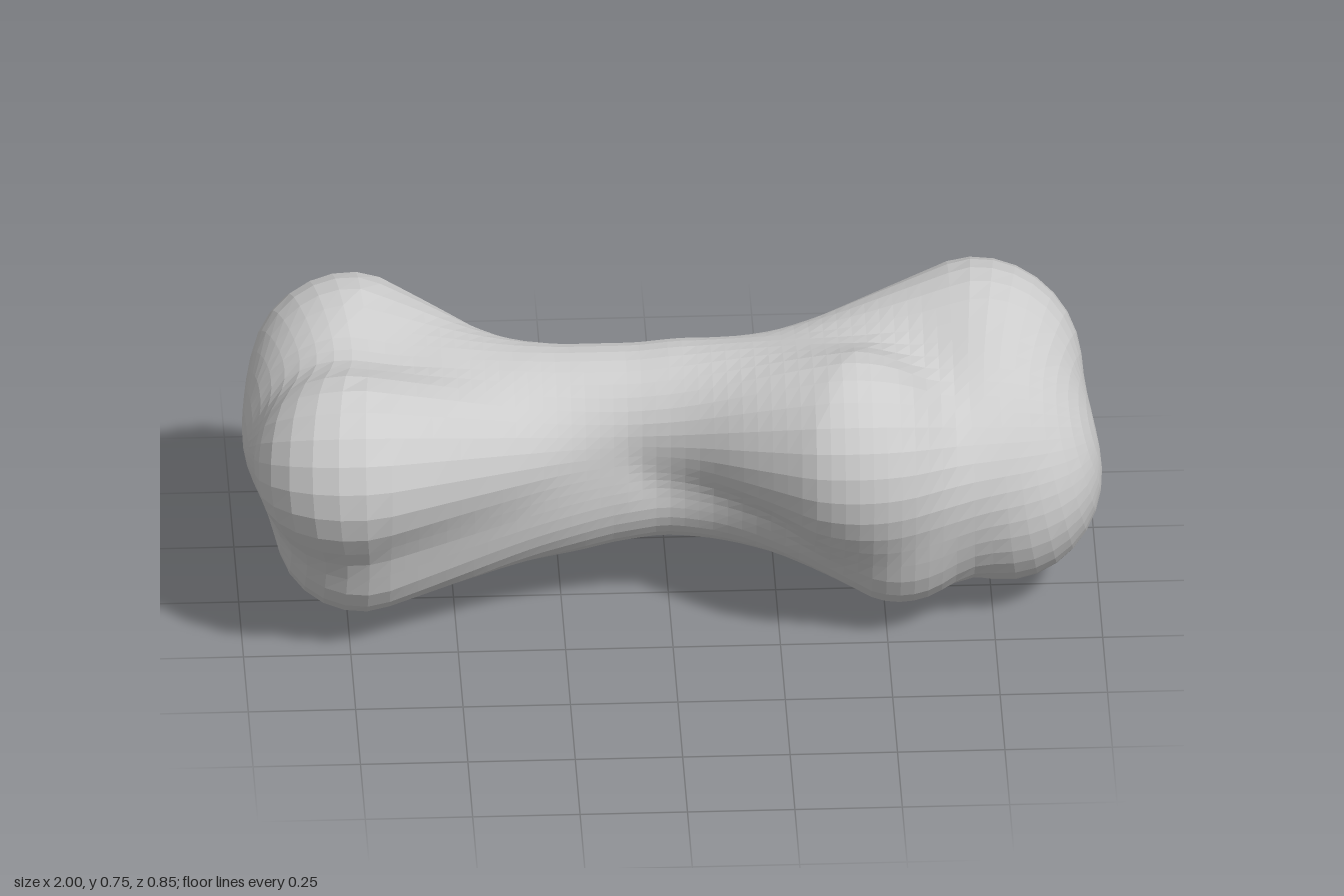
import * as THREE from 'three';

// Tapered rounded limbs: from [x, y, z, radius] to [x, y, z, radius]
const limbs = [
  // shaft: two stacked rods give a tall oval section
  [[-0.5, 0.488, -0.025, 0.15], [0.5, 0.488, -0.025, 0.15]],
  [[-0.5, 0.315, -0.025, 0.15], [0.5, 0.315, -0.025, 0.15]],
  // right-hand end (-x): front, back, lower back, lower front, back web, core
  [[-0.75, 0.487, 0.205, 0.223], [-0.2, 0.42, 0, 0.13]],
  [[-0.73, 0.5, -0.19, 0.235], [-0.36, 0.46, -0.05, 0.14]],
  [[-0.68, 0.195, -0.175, 0.195], [-0.25, 0.29, -0.05, 0.14]],
  [[-0.72, 0.27, 0.12, 0.2], [-0.15, 0.31, -0.01, 0.125]],
  [[-0.73, 0.45, -0.18, 0.19], [-0.69, 0.22, -0.17, 0.18]],
  [[-0.74, 0.43, -0.03, 0.25], [-0.4, 0.41, -0.02, 0.16]],
  // left-hand end (+x): upper back, upper front, end, lower front, lower back
  [[0.72, 0.52, -0.17, 0.23], [0.15, 0.45, -0.05, 0.13]],
  [[0.41, 0.488, 0.163, 0.226], [0.05, 0.48, -0.01, 0.14]],
  [[0.78, 0.27, 0.025, 0.208], [0.1, 0.32, -0.025, 0.12]],
  [[0.53, 0.25, 0.12, 0.19], [0.15, 0.32, -0.01, 0.12]],
  [[0.63, 0.24, -0.13, 0.19], [0.15, 0.32, -0.04, 0.12]],
  // left-hand end (+x): front ridge, end web, core
  [[0.48, 0.42, 0.165, 0.205], [0.8, 0.35, 0.03, 0.19]],
  [[0.75, 0.49, -0.13, 0.205], [0.77, 0.31, 0.01, 0.195]],
  [[0.7, 0.41, -0.03, 0.25], [0.4, 0.41, 0, 0.17]],
].map(([a, b]) => ({
  start: new THREE.Vector3(a[0], a[1], a[2]),
  axis: new THREE.Vector3(b[0] - a[0], b[1] - a[1], b[2] - a[2]),
  r0: a[3],
  r1: b[3],
}));

// Polynomial smooth minimum blends neighbouring limbs
function blend(a, b, k) {
  const h = Math.max(k - Math.abs(a - b), 0) / k;
  return Math.min(a, b) - h * h * k * 0.25;
}

const offset = new THREE.Vector3();
function distance(p) {
  let d = 10;
  for (const { start, axis, r0, r1 } of limbs) {
    offset.subVectors(p, start);
    const h = THREE.MathUtils.clamp(offset.dot(axis) / axis.lengthSq(), 0, 1);
    offset.addScaledVector(axis, -h);
    d = blend(d, offset.length() - THREE.MathUtils.lerp(r0, r1, h), 0.075);
  }
  return d;
}

// Shrink-wrap a capsule on to the blended limbs
function boneGeometry() {
  const spine = 0.66;
  const geometry = new THREE.CapsuleGeometry(0.7, spine * 2, 12, 44, 40);
  geometry.rotateZ(-Math.PI / 2);
  const pos = geometry.attributes.position;
  const origin = new THREE.Vector3();
  const dir = new THREE.Vector3();
  const p = new THREE.Vector3();
  for (let i = 0; i < pos.count; i++) {
    p.fromBufferAttribute(pos, i);
    origin.set(THREE.MathUtils.clamp(p.x, -spine, spine), 0, 0);
    dir.subVectors(p, origin).normalize();
    origin.set(origin.x, 0.4, -0.025);
    let t = 0.7;
    for (let n = 0; n < 100; n++) {
      const d = distance(p.copy(origin).addScaledVector(dir, t));
      if (d < 0.0005) break;
      t -= d * 0.85;
    }
    pos.setXYZ(i, p.x, p.y, p.z);
  }
  geometry.computeVertexNormals();
  return geometry;
}

export function createModel() {
  const group = new THREE.Group();
  group.name = 'bone';
  const material = new THREE.MeshStandardMaterial({ color: 0xcccccc, flatShading: true });
  const bone = new THREE.Mesh(boneGeometry(), material);
  bone.name = 'boneBody';
  group.add(bone);
  return group;
}
